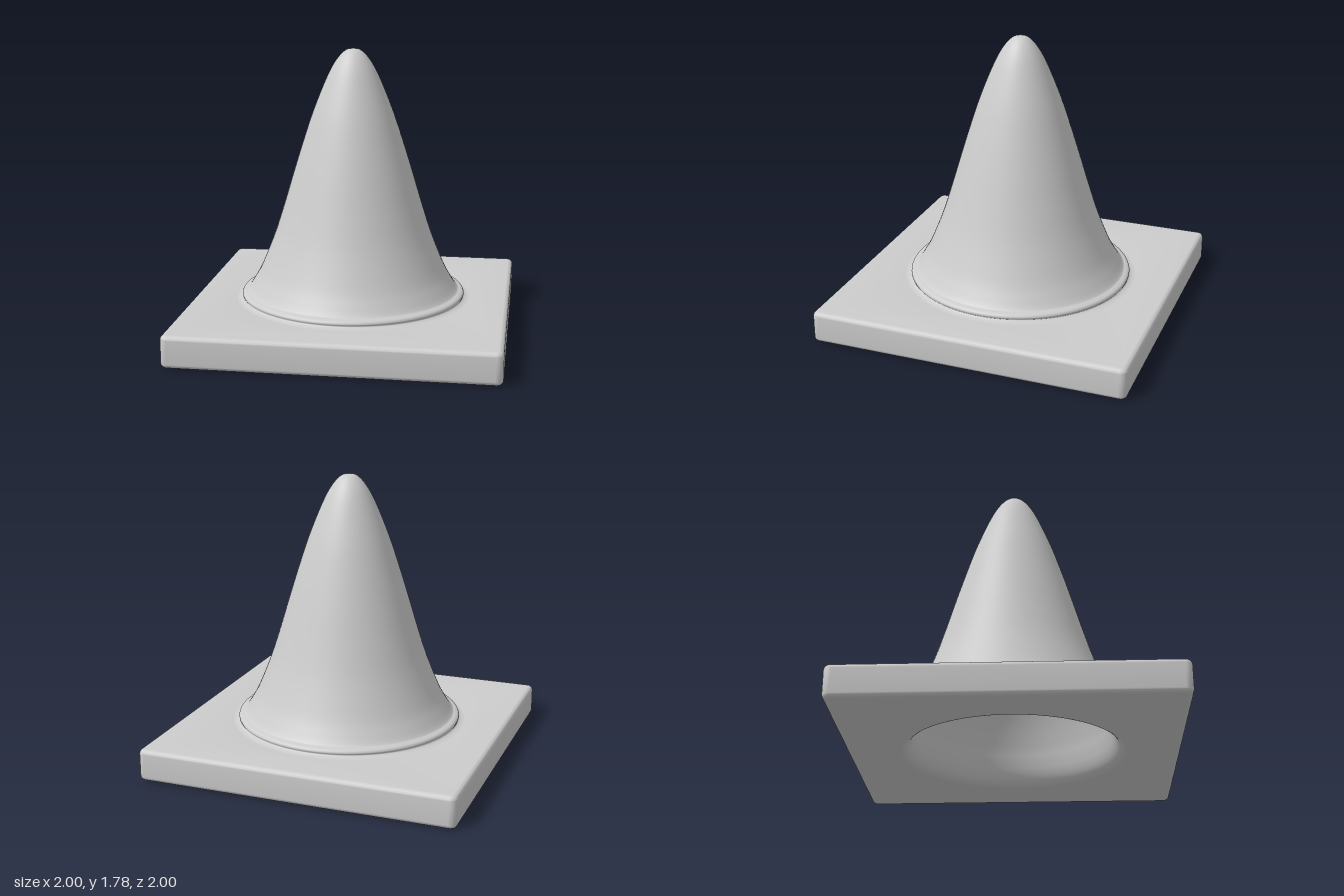
import * as THREE from 'three';
import { toCreasedNormals } from 'three/addons/utils/BufferGeometryUtils.js';

const SEGMENTS = 96;

// Smooth curve through [radius, height] pairs
function smoothProfile(pairs, count) {
  const curve = new THREE.SplineCurve(pairs.map(([r, y]) => new THREE.Vector2(r, y)));
  const points = curve.getPoints(count);
  points.forEach((p) => { p.x = Math.max(0, p.x); });
  return points;
}

function roundedSquare(half, r) {
  const s = new THREE.Shape();
  const c = half - r;
  s.absarc(c, c, r, 0, Math.PI / 2);
  s.absarc(-c, c, r, Math.PI / 2, Math.PI);
  s.absarc(-c, -c, r, Math.PI, Math.PI * 1.5);
  s.absarc(c, -c, r, Math.PI * 1.5, Math.PI * 2);
  s.closePath();
  return s;
}

export function createModel() {
  const model = new THREE.Group();
  model.name = 'trafficCone';
  const grey = new THREE.MeshStandardMaterial({ color: 0xcccccc });
  grey.name = 'plain grey';

  const add = (name, geometry) => {
    const mesh = new THREE.Mesh(geometry, grey);
    mesh.name = name;
    model.add(mesh);
  };

  // Square foot with soft edges and a round opening
  const bevel = 0.03;
  const foot = roundedSquare(1 - bevel, 0.012);
  foot.holes.push(new THREE.Path().absarc(0, 0, 0.735, 0, Math.PI * 2, true));
  const footGeometry = new THREE.ExtrudeGeometry(foot, {
    depth: 0.2 - bevel * 2, bevelSize: bevel, bevelThickness: bevel,
    bevelSegments: 8, curveSegments: 48,
  });
  footGeometry.rotateX(-Math.PI / 2).translate(0, bevel, 0);
  add('base', toCreasedNormals(footGeometry, 0.6));

  // Bell-shaped outer skin, flaring into a small rounded collar on the foot
  const outer = [
    [0.755, 0.199], [0.725, 0.203], [0.708, 0.212], [0.711, 0.226], [0.704, 0.239],
    [0.688, 0.247], [0.668, 0.256], [0.634, 0.306], [0.583, 0.4], [0.502, 0.6],
    [0.437, 0.8], [0.377, 1.0], [0.315, 1.2], [0.248, 1.4], [0.167, 1.6],
    [0.108, 1.71], [0.05, 1.773], [0, 1.785],
  ];
  add('cone', new THREE.LatheGeometry(smoothProfile(outer, 102), SEGMENTS));

  // Hollow inside, flaring softly out to the underside of the foot
  const inner = [
    [0, 1.73], [0.05, 1.71], [0.118, 1.6], [0.198, 1.4], [0.264, 1.2], [0.326, 1.0],
    [0.386, 0.8], [0.45, 0.6], [0.527, 0.4], [0.572, 0.25], [0.592, 0.16],
    [0.612, 0.09], [0.638, 0.04], [0.67, 0.012], [0.705, 0.002], [0.74, 0],
  ];
  add('innerWall', new THREE.LatheGeometry(smoothProfile(inner, 90), SEGMENTS));

  return model;
}
